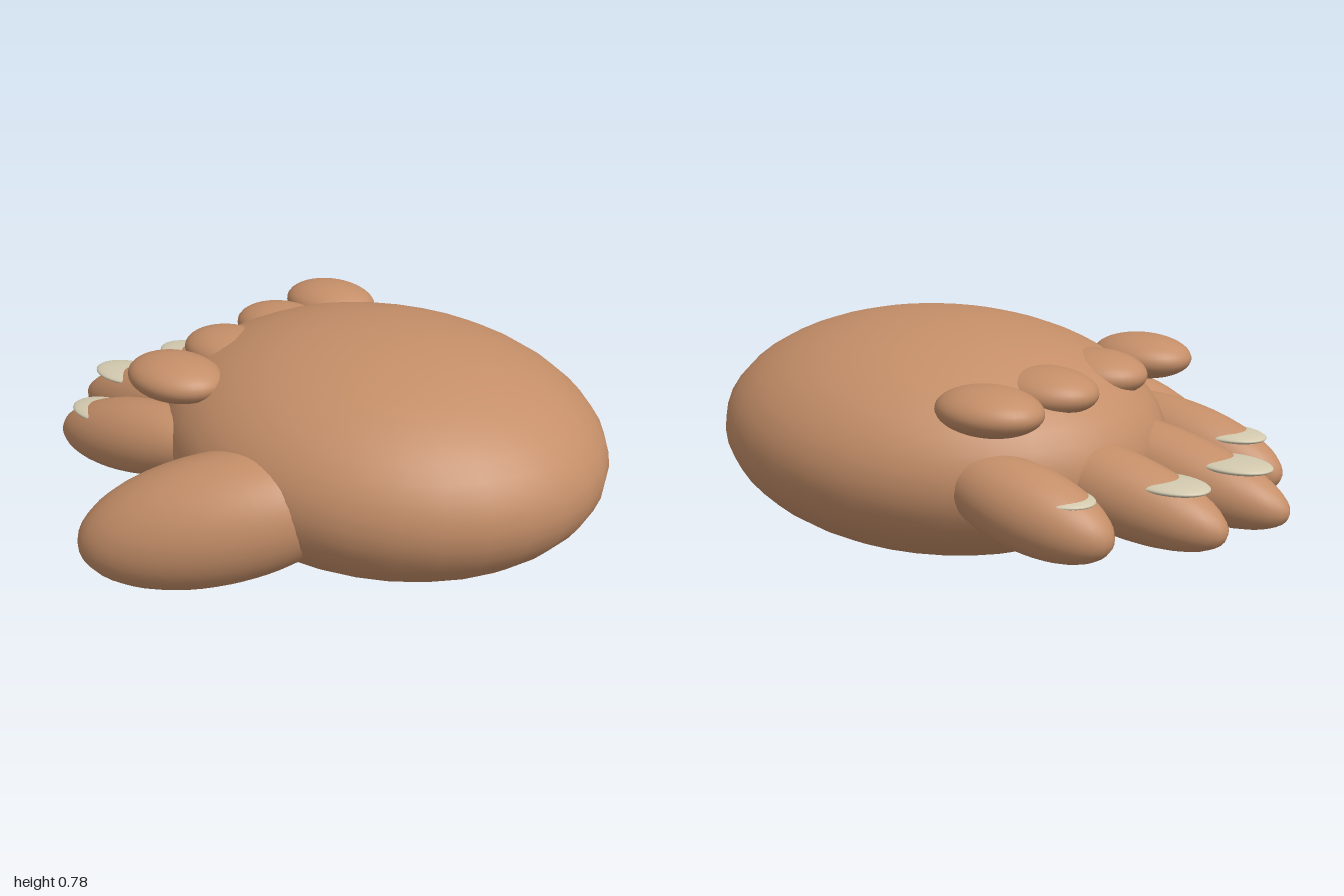
import * as THREE from 'three';

export function createModel() {
  const group = new THREE.Group();
  const skin = new THREE.MeshStandardMaterial({ color: 0xc48e68 });
  const nailMaterial = new THREE.MeshStandardMaterial({ color: 0xd2c9ae });
  const ball = new THREE.SphereGeometry(1, 32, 24);

  // Every part is a stretched ball
  function ellipsoid(name, material, position, radii, tilt = 0) {
    const mesh = new THREE.Mesh(ball, material);
    mesh.name = name;
    mesh.position.set(...position);
    mesh.scale.set(...radii);
    mesh.rotation.x = tilt;
    group.add(mesh);
    return mesh;
  }

  // Palm
  ellipsoid('palm', skin, [0.145, 0.395, 0.213], [0.655, 0.39, 0.785]);

  // Thumb, its long axis sloping down and outwards to the tip
  const thumb = ellipsoid('thumb', skin, [-0.5, 0.3, 0.04], [0.212, 0.212, 0.458]);
  const thumbAxis = new THREE.Vector3(0.56, 0.244, 0.79).normalize();
  thumb.quaternion.setFromUnitVectors(new THREE.Vector3(0, 0, 1), thumbAxis);

  // Fingers, each with a knuckle and a nail
  const fingers = [
    { name: 'index', x: -0.29, tip: -0.835, length: 0.36, tilt: 0.19 },
    { name: 'middle', x: -0.005, tip: -1.0, length: 0.45, tilt: 0.18 },
    { name: 'ring', x: 0.28, tip: -0.94, length: 0.41, tilt: 0.18 },
    { name: 'little', x: 0.57, tip: -0.73, length: 0.3, tilt: 0.2 },
  ];
  for (const { name, x, tip, length, tilt } of fingers) {
    const z = tip + length * 0.985;
    ellipsoid(name + 'Finger', skin, [x, 0.353, z], [0.131, 0.13, length], -tilt);
    ellipsoid(name + 'Knuckle', skin, [x, 0.622, -0.303], [0.134, 0.073, 0.175]);
    ellipsoid(name + 'Nail', nailMaterial, [x, 0.403, tip + 0.195], [0.088, 0.02, 0.13]);
  }

  return group;
}
